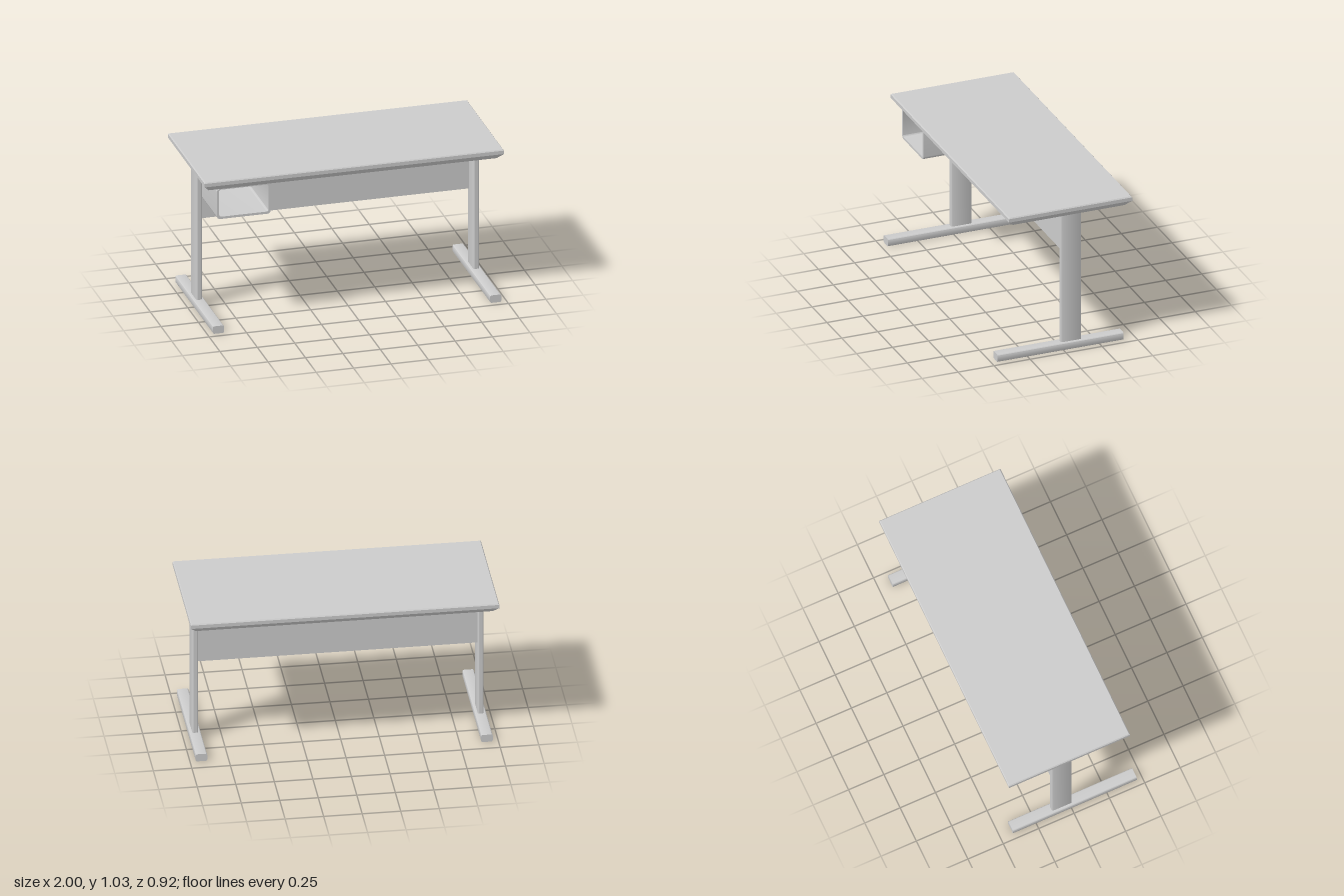
import * as THREE from 'three';
import { toCreasedNormals } from 'three/addons/utils/BufferGeometryUtils.js';

const grey = new THREE.MeshStandardMaterial({ color: 0xcccccc });

function add(group, name, geometry, x = 0, y = 0, z = 0) {
  const mesh = new THREE.Mesh(geometry, grey);
  mesh.name = name;
  mesh.position.set(x, y, z);
  group.add(mesh);
  return mesh;
}

// Rounded rectangle outline centred on the origin
function roundedRect(w, h, r, Type = THREE.Shape) {
  const s = new Type(), x = w / 2, y = h / 2;
  s.absarc(x - r, y - r, r, 0, Math.PI / 2);
  s.absarc(-x + r, y - r, r, Math.PI / 2, Math.PI);
  s.absarc(-x + r, -y + r, r, Math.PI, Math.PI * 1.5);
  s.absarc(x - r, -y + r, r, Math.PI * 1.5, Math.PI * 2);
  s.closePath();
  return s;
}

// Extrusion along z, starting at z = 0
function extrude(shape, depth) {
  const g = new THREE.ExtrudeGeometry(shape, { depth, bevelEnabled: false, curveSegments: 5 });
  return toCreasedNormals(g, 0.6);
}

// Solid stacked from rectangles: each level is [y, half width, half depth]
function rectStack(levels) {
  const pos = [], index = [], last = (levels.length - 1) * 4;
  for (const [y, w, d] of levels) pos.push(-w, y, d, w, y, d, w, y, -d, -w, y, -d);
  for (let l = 0; l < last; l += 4) {
    for (let i = 0; i < 4; i++) {
      const a = l + i, b = l + (i + 1) % 4;
      index.push(a, b, b + 4, a, b + 4, a + 4);
    }
  }
  index.push(0, 2, 1, 0, 3, 2, last, last + 1, last + 2, last, last + 2, last + 3);
  const g = new THREE.BufferGeometry();
  g.setAttribute('position', new THREE.Float32BufferAttribute(pos, 3));
  g.setIndex(index);
  const flat = g.toNonIndexed();
  flat.computeVertexNormals();
  return flat;
}

export function createModel() {
  const desk = new THREE.Group();
  desk.name = 'desk';

  // Worktop with an eased upper edge and a sloping underside edge
  add(desk, 'worktop', rectStack([
    [0.96, 0.962, 0.388],
    [1.0, 1.0, 0.428],
    [1.024, 1.0, 0.428],
    [1.031, 0.994, 0.422],
  ]), 0, 0, -0.032);

  // T-shaped leg frames
  for (const side of [1, -1]) {
    const frame = new THREE.Group();
    frame.name = side > 0 ? 'leftLegFrame' : 'rightLegFrame';
    add(frame, 'foot', extrude(roundedRect(0.075, 0.052, 0.011), 0.875), 0, 0.026, -0.415);
    const post = add(frame, 'post', extrude(roundedRect(0.038, 0.142, 0.01), 0.915), 0, 0.048, -0.059);
    post.rotation.x = -Math.PI / 2;
    frame.position.x = side * 0.926;
    desk.add(frame);
  }

  // Panel between the posts
  add(desk, 'modestyPanel', new THREE.BoxGeometry(1.82, 0.39, 0.02), 0, 0.765, -0.11);

  // Open-fronted storage tray hung under the worktop
  const tray = roundedRect(0.36, 0.211, 0.022);
  const opening = roundedRect(0.33, 0.188, 0.012, THREE.Path);
  tray.holes.push(new THREE.Path(opening.getPoints(5).map((p) => p.add(new THREE.Vector2(0, 0.004)))));
  add(desk, 'storageTray', extrude(tray, 0.455), -0.727, 0.8555, -0.1);

  return desk;
}
